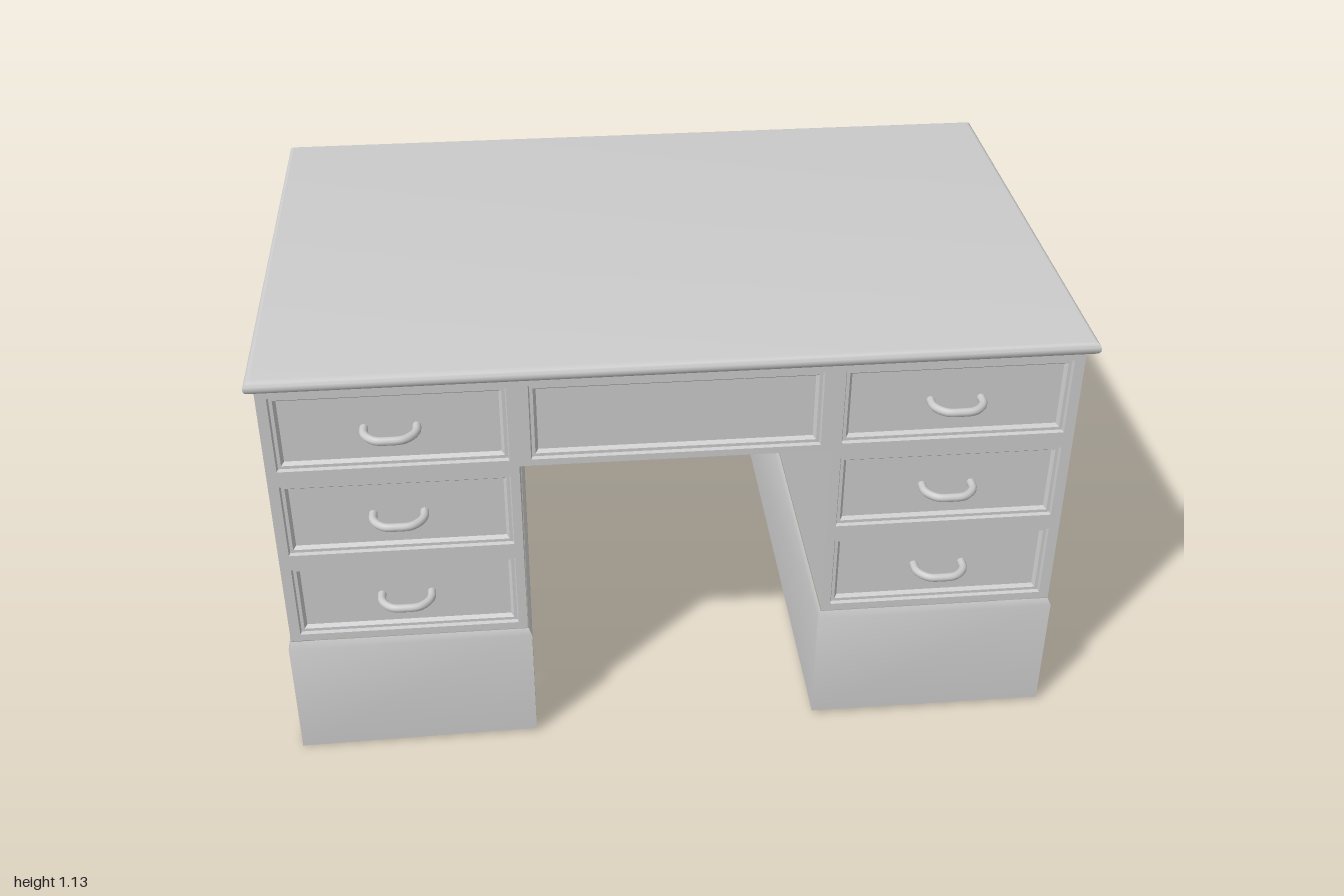
import * as THREE from 'three';
import { toCreasedNormals } from 'three/addons/utils/BufferGeometryUtils.js';

const material = new THREE.MeshStandardMaterial({ color: 0xcccccc, side: THREE.DoubleSide });
const FRONT = 0.61, BACK = -0.636;

function mesh(name, geometry) {
  const m = new THREE.Mesh(geometry, material);
  m.name = name;
  return m;
}

// Geometry from a list of four-cornered faces
function fromQuads(quads) {
  const pos = quads.flatMap(([a, b, c, d]) => [a, b, c, a, c, d].flat());
  const g = new THREE.BufferGeometry();
  g.setAttribute('position', new THREE.Float32BufferAttribute(pos, 3));
  g.computeVertexNormals();
  return g;
}

// Skin over stacked mitred rectangles [x0, x1, z0, z1, y]
function rectLoft(rings, capStart, capEnd) {
  const loops = rings.map(([x0, x1, z0, z1, y]) => [[x0, y, z1], [x1, y, z1], [x1, y, z0], [x0, y, z0]]);
  const quads = [];
  for (let r = 0; r < loops.length - 1; r++) {
    for (let i = 0; i < 4; i++) {
      const j = (i + 1) % 4;
      quads.push([loops[r][i], loops[r][j], loops[r + 1][j], loops[r + 1][i]]);
    }
  }
  if (capStart) quads.push([...loops[0]].reverse());
  if (capEnd) quads.push(loops[loops.length - 1]);
  return fromQuads(quads);
}

// Inverted U outline of the carcass
const outline = [[-0.977, 0.35], [-0.379, 0.35], [-0.379, 0.852], [0.379, 0.852],
  [0.379, 0.35], [0.977, 0.35], [0.977, 1.105], [-0.977, 1.105]];

function outlineShape() {
  return new THREE.Shape(outline.map(([x, y]) => new THREE.Vector2(x, y)));
}

// Recessed moulding and panel of one drawer, centred on its own origin
function drawerFront(w, h) {
  const steps = [[0, 0], [0.003, -0.009], [0.011, -0.009], [0.018, -0.018]];
  const rings = steps.map(([inset, depth]) =>
    [-w / 2 + inset, w / 2 - inset, -h / 2 + inset, h / 2 - inset, depth]);
  return rectLoft(rings, false, true).rotateX(Math.PI / 2);
}

// Horizontal bow handle
function handleGeometry() {
  const pts = [[-0.062, -0.02], [-0.061, 0.008], [-0.052, 0.025], [-0.032, 0.041], [0, 0.044],
    [0.032, 0.041], [0.052, 0.025], [0.061, 0.008], [0.062, -0.02]];
  const path = new THREE.CatmullRomCurve3(pts.map(([x, z]) => new THREE.Vector3(x, 0, z)));
  return new THREE.TubeGeometry(path, 32, 0.0105, 10);
}

export function createModel() {
  const desk = new THREE.Group();
  desk.name = 'desk';

  // Desktop with a half-round edge on all sides
  const r = 0.0175, topRings = [];
  for (let i = 0; i <= 10; i++) {
    const a = -Math.PI / 2 + Math.PI * i / 10;
    const o = r * (Math.cos(a) - 1);
    topRings.push([-1 - o, 1 + o, -0.663 - o, 0.635 + o, 1.1175 + r * Math.sin(a)]);
  }
  desk.add(mesh('desktop', toCreasedNormals(rectLoft(topRings, true, true), 0.6)));

  const base = new THREE.Group();
  base.name = 'base';
  base.position.x = -0.003;
  desk.add(base);

  // Drawer layout: centre x, centre y, width, height
  const drawers = [[0, 0.973, 0.70, 0.206]];
  for (const s of [-1, 1]) {
    for (const y of [0.973, 0.723, 0.473]) drawers.push([s * 0.676, y, 0.55, 0.206]);
  }

  // Front wall with drawer openings, and plain back wall
  const front = outlineShape();
  for (const [x, y, w, h] of drawers) {
    front.holes.push(new THREE.Path([[-1, -1], [-1, 1], [1, 1], [1, -1]]
      .map(([u, v]) => new THREE.Vector2(x + u * w / 2, y + v * h / 2))));
  }
  base.add(mesh('frontWall', new THREE.ShapeGeometry(front).translate(0, 0, FRONT)));
  base.add(mesh('backWall', new THREE.ShapeGeometry(outlineShape()).rotateY(Math.PI).translate(0, 0, BACK)));

  // Outer sides, kneehole walls and kneehole ceiling; pedestals stay open below
  const walls = [];
  for (const i of [1, 2, 3, 5, 7]) {
    const [x0, y0] = outline[i], [x1, y1] = outline[(i + 1) % outline.length];
    walls.push([[x0, y0, FRONT], [x0, y0, BACK], [x1, y1, BACK], [x1, y1, FRONT]]);
  }
  base.add(mesh('sideWalls', fromQuads(walls)));

  // Drawers, with handles on the pedestal ones
  const handle = handleGeometry();
  for (const [x, y, w, h] of drawers) {
    const drawer = new THREE.Group();
    drawer.name = x === 0 ? 'centreDrawer' : 'pedestalDrawer';
    drawer.position.set(x, y, FRONT);
    drawer.add(mesh('drawerFront', drawerFront(w, h)));
    if (x !== 0) drawer.add(mesh('handle', handle));
    base.add(drawer);
  }

  // Hollow plinths with a chamfered top edge
  for (const s of [-1, 1]) {
    const rings = [[0, 0.012], [0, 0.332], [0.008, 0.35]].map(([inset, y]) => {
      const xs = [s * (0.369 + inset), s * (0.984 - inset)].sort((a, b) => a - b);
      return [...xs, -0.647 + inset, 0.62 - inset, y];
    });
    const g = rectLoft(rings, false, false);
    // The right plinth reaches the floor along its outer edge
    const p = g.attributes.position;
    for (let i = 0; i < p.count; i++) {
      if (p.getX(i) < -0.9 && p.getY(i) < 0.1) p.setY(i, 0);
    }
    base.add(mesh(s < 0 ? 'rightPlinth' : 'leftPlinth', toCreasedNormals(g, 0.9)));
  }
  return desk;
}
